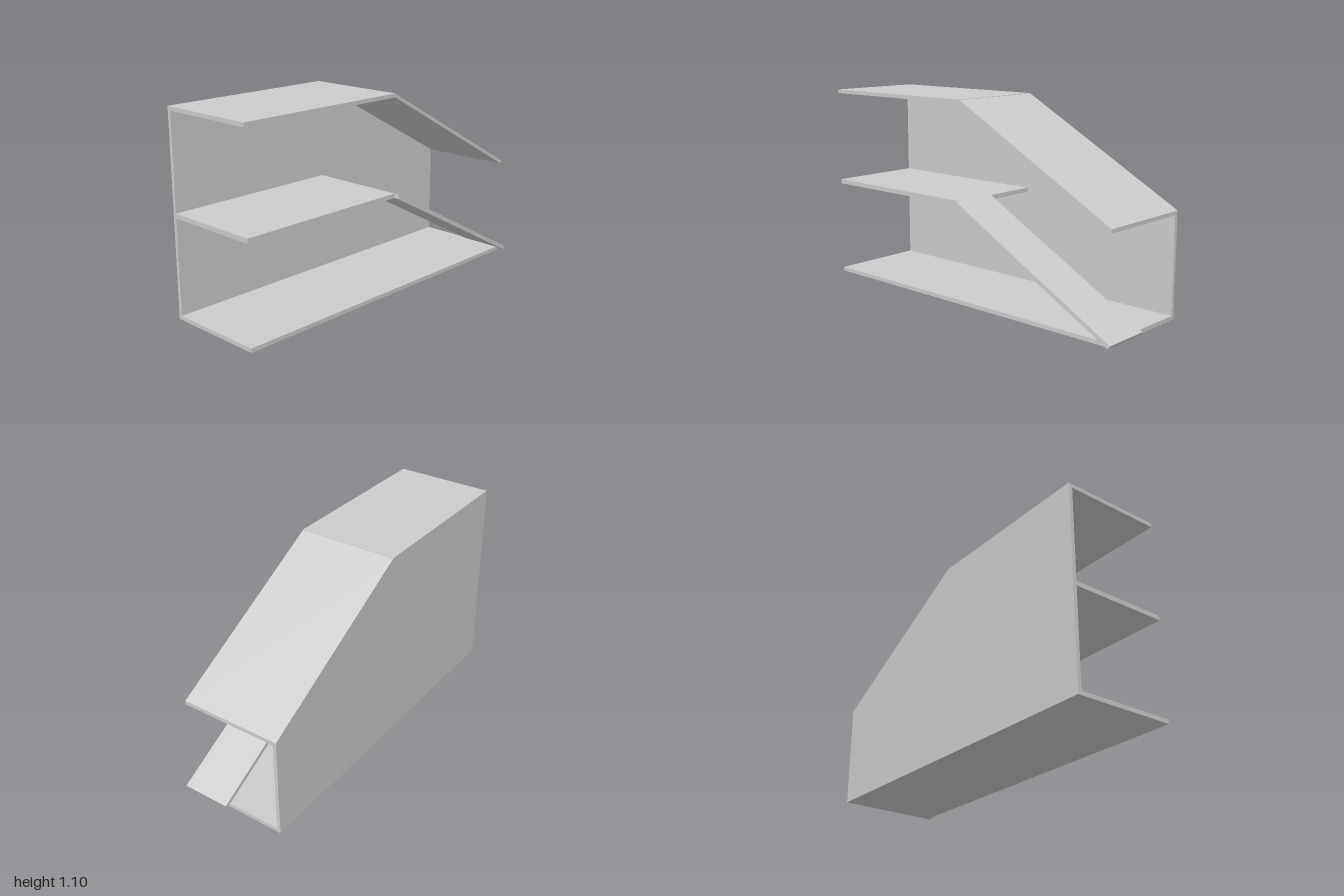
import * as THREE from 'three';

const material = new THREE.MeshStandardMaterial({ color: 0xcccccc });

// Extrudes a [z, y] side profile across the width from x0 to x1
function panel(name, profile, x0, x1) {
  const shape = new THREE.Shape(profile.map(([z, y]) => new THREE.Vector2(-z, y)));
  const geometry = new THREE.ExtrudeGeometry(shape, { depth: x1 - x0, bevelEnabled: false });
  geometry.rotateY(Math.PI / 2).translate(x0, 0, 0);
  const mesh = new THREE.Mesh(geometry, material);
  mesh.name = name;
  return mesh;
}

export function createModel() {
  const group = new THREE.Group();
  group.name = 'rampShelter';
  const outer = -0.298, inner = -0.278, edge = 0.265;
  const front = 1, back = -0.97;

  group.add(
    // Tall side wall with a sloping rear top edge
    panel('sideWall', [[front, 0], [back, 0], [back, 0.547], [0, 1.078], [front, 1.078]], outer, inner),
    // Level floors, open on the other side
    panel('baseFloor', [[front, 0], [back, 0], [back, 0.022], [front, 0.022]], inner, edge),
    panel('middleFloor', [[front, 0.54], [0, 0.54], [0, 0.565], [front, 0.565]], inner, edge),
    // Level and sloping halves of the roof
    panel('flatRoof', [[front, 1.078], [0, 1.078], [0, 1.099], [front, 1.099]], outer, edge),
    panel('slopingRoof', [[0, 1.078], [back, 0.547], [back, 0.568], [0, 1.097]], outer, edge),
    // Narrow ramp from the middle floor to the ground, square-cut at the foot
    panel('ramp', [[0, 0.54], [-0.988, 0.005], [-1, 0.023], [0, 0.567]], 0.029, 0.298)
  );
  return group;
}
